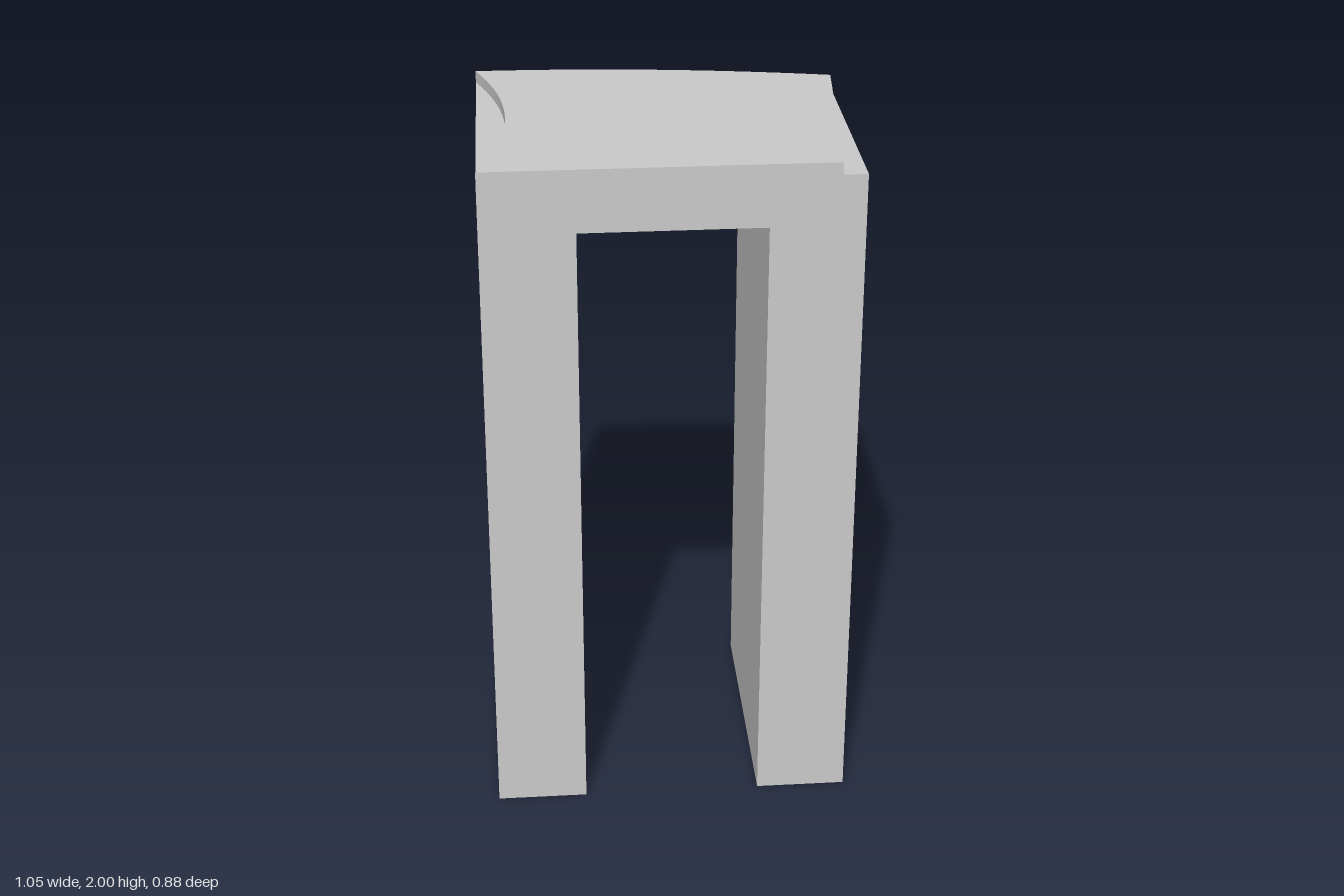
import * as THREE from 'three';
import { toCreasedNormals } from 'three/addons/utils/BufferGeometryUtils.js';

const HALF = 0.523, INNER = 0.26, UNDERSIDE = 1.82, LEDGE = 1.965, TOP = 2;
const STEPS = 20;

// Plan edges: straight front, gently bowed back
const frontZ = x => 0.43 - 0.01 * x;
const bowZ = x => -0.44 + 0.118 * (x + 0.45) ** 2;
const bodyBackZ = x => Math.min(bowZ(x), -0.345);
const KINK = 0.447; // where the bow meets the square back corner

// Extrude a plan outline of [x, z] points from y0 up to y1
function prism(name, points, y0, y1, material) {
  const shape = new THREE.Shape(points.map(([x, z]) => new THREE.Vector2(x, -z)));
  const raw = new THREE.ExtrudeGeometry(shape, { depth: y1 - y0, bevelEnabled: false });
  raw.rotateX(-Math.PI / 2).translate(0, y0, 0);
  const mesh = new THREE.Mesh(toCreasedNormals(raw, 0.1), material);
  mesh.name = name;
  return mesh;
}

// Plan outline of the body between two x positions
function bodyPlan(x0, x1) {
  const xs = [];
  for (let i = 0; i <= STEPS; i++) xs.push(x1 + (x0 - x1) * i / STEPS);
  if (x0 < KINK && x1 > KINK) xs.push(KINK);
  xs.sort((a, b) => b - a);
  return [[x0, frontZ(x0)], [x1, frontZ(x1)], ...xs.map(x => [x, bodyBackZ(x)])];
}

// Plan outline of the thin top: slanted on +x, hollowed on -x
function topPlan() {
  const points = [[0.455, frontZ(0.455)]];
  for (let i = 0; i <= STEPS; i++) {
    const x = HALF - 2 * HALF * i / STEPS;
    points.push([x, bowZ(x)]);
  }
  const zBack = bowZ(-HALF), zFront = frontZ(-HALF);
  for (let i = 1; i <= STEPS; i++) {
    const t = i / STEPS;
    points.push([-HALF + 0.083 * 4 * t * (1 - t), zBack + (zFront - zBack) * t]);
  }
  return points;
}

export function createModel() {
  const model = new THREE.Group();
  model.name = 'archBlock';
  const grey = new THREE.MeshStandardMaterial({ color: 0xcccccc });

  // Two upright slabs, the beam joining them and the thin top layer
  model.add(
    prism('rightLeg', bodyPlan(-HALF, -INNER), 0, UNDERSIDE, grey),
    prism('leftLeg', bodyPlan(INNER, HALF), 0, UNDERSIDE, grey),
    prism('beam', bodyPlan(-HALF, HALF), UNDERSIDE, LEDGE, grey),
    prism('topSlab', topPlan(), LEDGE, TOP, grey)
  );
  return model;
}
